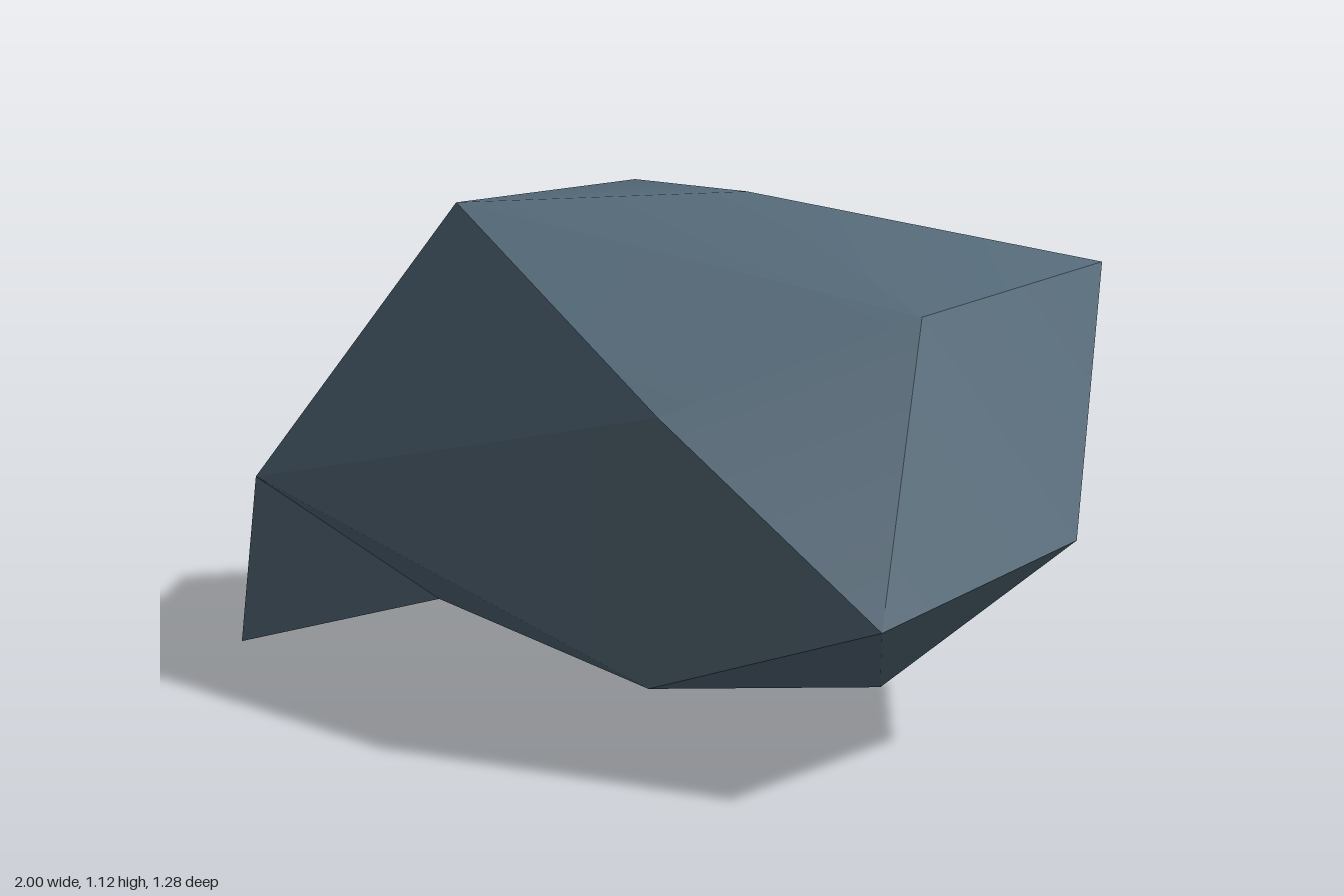
import * as THREE from 'three';
import { toCreasedNormals } from 'three/addons/utils/BufferGeometryUtils.js';

// Corners of the boulder
const corners = {
  // crown
  E: [-0.22, 1.115, -0.01], F: [0.18, 1.12, 0.05], G: [-0.25, 1.1, 0.505],
  K: [0.775, 0.92, 0.18], X: [0.68, 0.955, -0.56], C: [-0.67, 0.9, -0.585], A: [-0.96, 0.885, -0.05],
  // waist
  I: [0.485, 0.74, 0.64], J: [0.96, 0.365, 0.515], L: [1.0, 0.46, -0.05], Y: [0.74, 0.505, -0.4],
  R: [-0.21, 0.375, -0.59], B: [-0.73, 0.65, -0.64], H: [-0.85, 0.43, 0.6],
  // underside
  S: [-0.77, 0.275, -0.07], M: [-1.0, 0, 0.54], N: [-0.47, 0.165, 0.38],
  O: [0.26, 0.105, 0.44], P: [0.64, 0.12, 0.135],
};

// Bent faces, each a fan of triangles from its first corner
const faces = [
  'BCEFX', 'FKX', 'KFGIJ', 'GFEAH', // top
  'HNOIG', 'JIOPL', // front
  'LYXKJ', 'RYLP', // left side
  'XYRB', // back
  'CBSAE', 'HASMN', // right side
  'RPONMSB', // underside
];

function boulderGeometry() {
  const positions = [];
  for (const face of faces) {
    for (let i = 1; i < face.length - 1; i++) {
      for (const key of [face[0], face[i], face[i + 1]]) positions.push(...corners[key]);
    }
  }
  const geometry = new THREE.BufferGeometry();
  geometry.setAttribute('position', new THREE.Float32BufferAttribute(positions, 3));
  // Gentle bends stay smooth, strong edges stay sharp
  return toCreasedNormals(geometry, 0.5);
}

export function createModel() {
  const slate = new THREE.MeshStandardMaterial({ color: 0x546978 });
  slate.name = 'slate';

  const boulder = new THREE.Mesh(boulderGeometry(), slate);
  boulder.name = 'boulder';

  const group = new THREE.Group();
  group.name = 'rock';
  group.add(boulder);
  return group;
}
